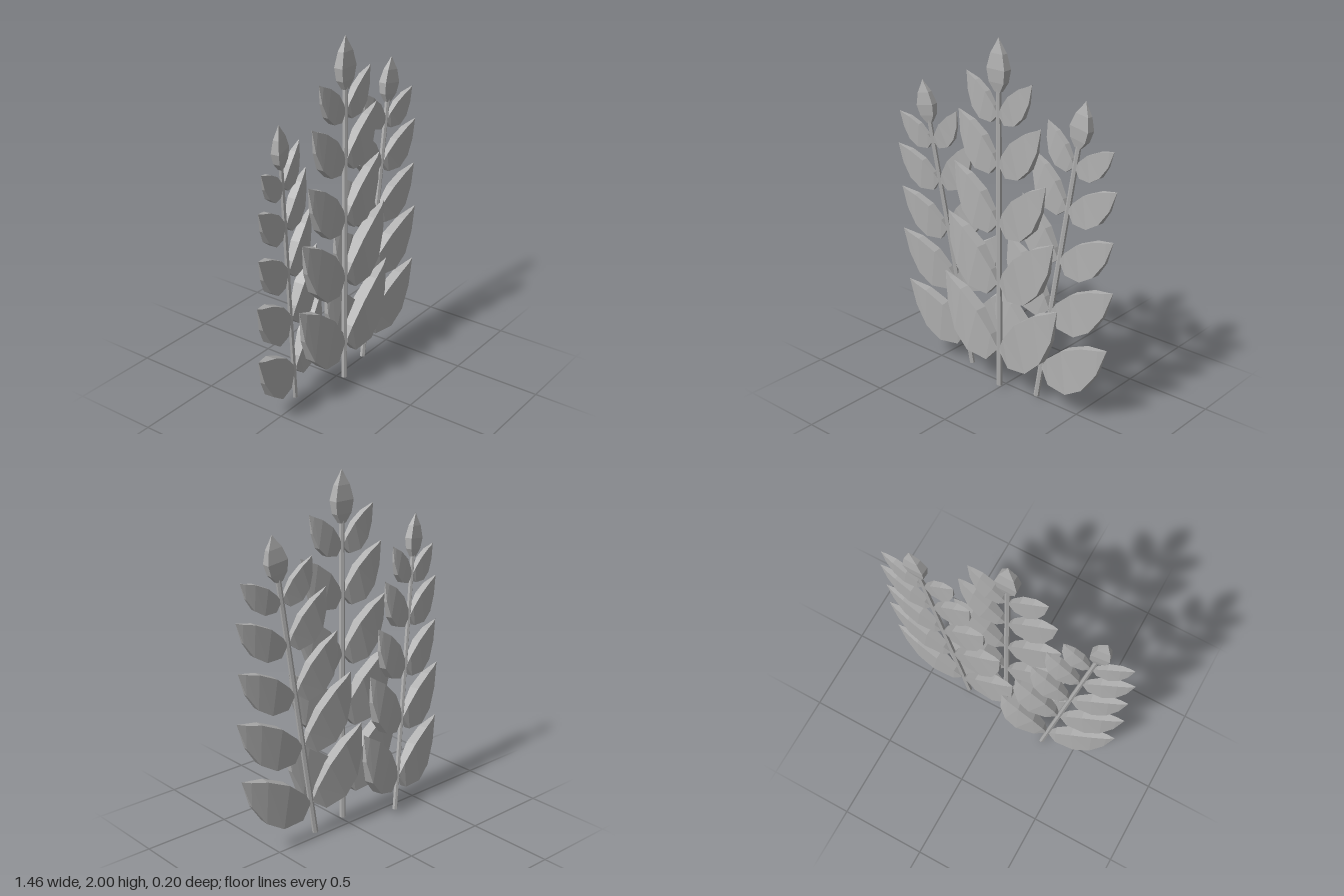
import * as THREE from 'three';

const leafGrey = new THREE.MeshStandardMaterial({ color: 0xb0b0b0, flatShading: true });

// Skin four-cornered sections: [lowerX, lowerY, upperX, upperY, halfThickness]
function loft(sections) {
  const pos = [], idx = [];
  for (const [lx, ly, ux, uy, t] of sections) {
    pos.push(lx, ly, t, lx, ly, -t, ux, uy, -t, ux, uy, t);
  }
  for (let i = 0; i < sections.length - 1; i++) {
    for (let k = 0; k < 4; k++) {
      const a = i * 4 + k, b = i * 4 + (k + 1) % 4;
      idx.push(a, b, b + 4, a, b + 4, a + 4);
    }
  }
  idx.push(0, 3, 2, 0, 2, 1);
  const geo = new THREE.BufferGeometry();
  geo.setAttribute('position', new THREE.Float32BufferAttribute(pos, 3));
  geo.setIndex(idx);
  const flat = geo.toNonIndexed();
  flat.computeVertexNormals();
  return flat;
}

// Leaf of unit reach, curving upward to a point
const leafGeometry = loft([
  [0.03, -0.03, 0.03, 0.03, 0.03],
  [0.2, -0.22, 0.11, 0.2, 0.06],
  [0.53, -0.17, 0.34, 0.5, 0.092],
  [0.77, 0.06, 0.65, 0.73, 0.08],
  [0.93, 0.43, 0.88, 0.83, 0.04],
  [1, 0.89, 0.995, 0.89, 0.002],
]);

// Bud: rectangular sections stacked upward
const budGeometry = loft([
  [0, 0.018, 0.012],
  [0.05, 0.049, 0.021],
  [0.12, 0.06, 0.026],
  [0.2, 0.04, 0.018],
  [0.25, 0.014, 0.007],
  [0.28, 0.001, 0.001],
].map(([h, w, t]) => [h, -w, h, w, t])).rotateZ(Math.PI / 2);

const stemGeometry = new THREE.CylinderGeometry(0.015, 0.017, 1.72, 6).translate(0, 0.86, 0);

// Height on the stem and reach of each leaf pair
const rows = [[0.23, 0.4], [0.63, 0.37], [0.98, 0.315], [1.31, 0.28], [1.58, 0.22]];

function part(name, geometry, parent) {
  const mesh = new THREE.Mesh(geometry, leafGrey);
  mesh.name = name;
  parent.add(mesh);
  return mesh;
}

function stalk(name, position, [pitch, yaw, lean], scale) {
  const g = new THREE.Group();
  g.name = name;
  part('stem', stemGeometry, g);
  part('bud', budGeometry, g).position.y = 1.7;
  for (const [y, reach] of rows) {
    for (const side of ['left', 'right']) {
      const leaf = part(side + 'Leaf', leafGeometry, g);
      leaf.position.y = y;
      leaf.scale.setScalar(reach);
      if (side === 'right') leaf.rotation.y = Math.PI;
    }
  }
  g.position.set(...position);
  g.rotation.set(pitch, yaw, lean, 'YXZ');
  g.scale.set(...scale);
  return g;
}

export function createModel() {
  const model = new THREE.Group();
  model.name = 'leafyStalks';
  model.add(
    stalk('centreStalk', [0, 0.02, 0.055], [0, 0, 0], [1, 1, 1]),
    stalk('rightStalk', [-0.305, 0.004, -0.055], [0.042, 0.17, 0.148], [0.86, 0.86, 0.86]),
    stalk('leftStalk', [0.235, 0.025, 0.015], [-0.022, -0.06, -0.156], [1, 0.885, 0.9]),
  );
  return model;
}
